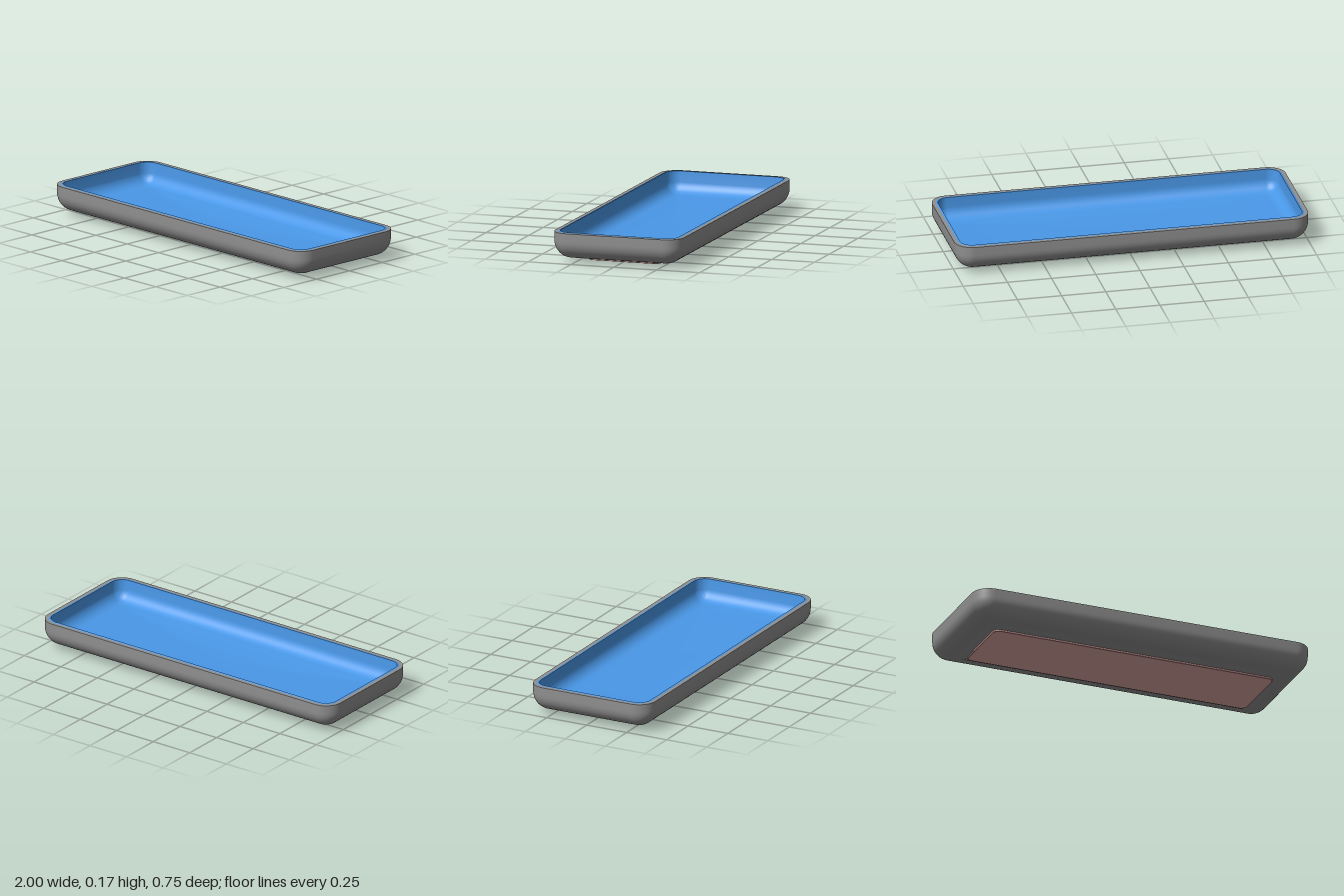
import * as THREE from 'three';
import { toCreasedNormals } from 'three/addons/utils/BufferGeometryUtils.js';

const HALF_X = 1, HALF_Z = 0.375, CORNER = 0.1, STEPS = 12;

// Rounded-rectangle outline, inset from the tray's outer edge
function ring(inset, y, minRadius) {
  const r = Math.max(CORNER - inset, minRadius);
  const cx = HALF_X - inset - r, cz = HALF_Z - inset - r;
  const signs = [[1, 1], [-1, 1], [-1, -1], [1, -1]];
  const points = [];
  signs.forEach(([sx, sz], q) => {
    for (let i = 0; i <= STEPS; i++) {
      const a = (q + i / STEPS) * Math.PI / 2;
      points.push([sx * cx + r * Math.cos(a), y, sz * cz + r * Math.sin(a)]);
    }
  });
  return points;
}

// Skin a profile of [inset, y] points; the ends can be closed with flat caps
function loft(profile, { minRadius = 0.035, capStart = false, capEnd = false }) {
  const rings = profile.map(([inset, y]) => ring(inset, y, minRadius));
  const n = rings[0].length, pos = [];
  for (let k = 0; k < rings.length - 1; k++) {
    for (let i = 0; i < n; i++) {
      const j = (i + 1) % n;
      const a = rings[k][i], b = rings[k][j], c = rings[k + 1][i], d = rings[k + 1][j];
      pos.push(...a, ...c, ...b, ...b, ...c, ...d);
    }
  }
  const cap = (points, up) => {
    const centre = [0, points[0][1], 0];
    points.forEach((p, i) => {
      const q = points[(i + 1) % n];
      pos.push(...centre, ...(up ? q : p), ...(up ? p : q));
    });
  };
  if (capStart) cap(rings[0], false);
  if (capEnd) cap(rings[rings.length - 1], true);
  const geometry = new THREE.BufferGeometry();
  geometry.setAttribute('position', new THREE.Float32BufferAttribute(pos, 3));
  return toCreasedNormals(geometry, 0.6);
}

// Quarter round between a wall and a floor, from the floor up
function quarterRound(wallInset, floorY, radius, steps = 12) {
  return Array.from({ length: steps + 1 }, (_, i) => {
    const a = i / steps * Math.PI / 2;
    return [wallInset + radius * (1 - Math.sin(a)), floorY + radius * (1 - Math.cos(a))];
  });
}

function part(name, geometry, color) {
  const mesh = new THREE.Mesh(geometry, new THREE.MeshStandardMaterial({ color }));
  mesh.name = name;
  return mesh;
}

export function createModel() {
  const group = new THREE.Group();
  group.name = 'tray';

  // Outer shell: stepped underside, rounded lower edge, straight wall and flat rim
  const step = Array.from({ length: 9 }, (_, i) => {
    const t = i / 8;
    return [0.15 - 0.04 * t, 0.01 + 0.012 * t * t * (3 - 2 * t)];
  });
  const shell = [...step, ...quarterRound(0, 0.022, 0.1), [0, 0.171], [0.022, 0.171]];
  group.add(part('outerShell', loft(shell, { capStart: true }), 0x909090));

  // Liner: thin lip just above the rim, inner wall, curved edge and floor
  const liner = [
    [0.022, 0.165], [0.022, 0.171], [0.025, 0.173], [0.033, 0.173],
    ...quarterRound(0.035, 0.05, 0.07).reverse(),
  ];
  group.add(part('liner', loft(liner, { capEnd: true }), 0x4a98e8));

  // Base pad under the tray
  const pad = [[0.167, 0], [0.165, 0.002], [0.165, 0.012]];
  group.add(part('basePad', loft(pad, { capStart: true, capEnd: true }), 0xe0a8a4));

  return group;
}
